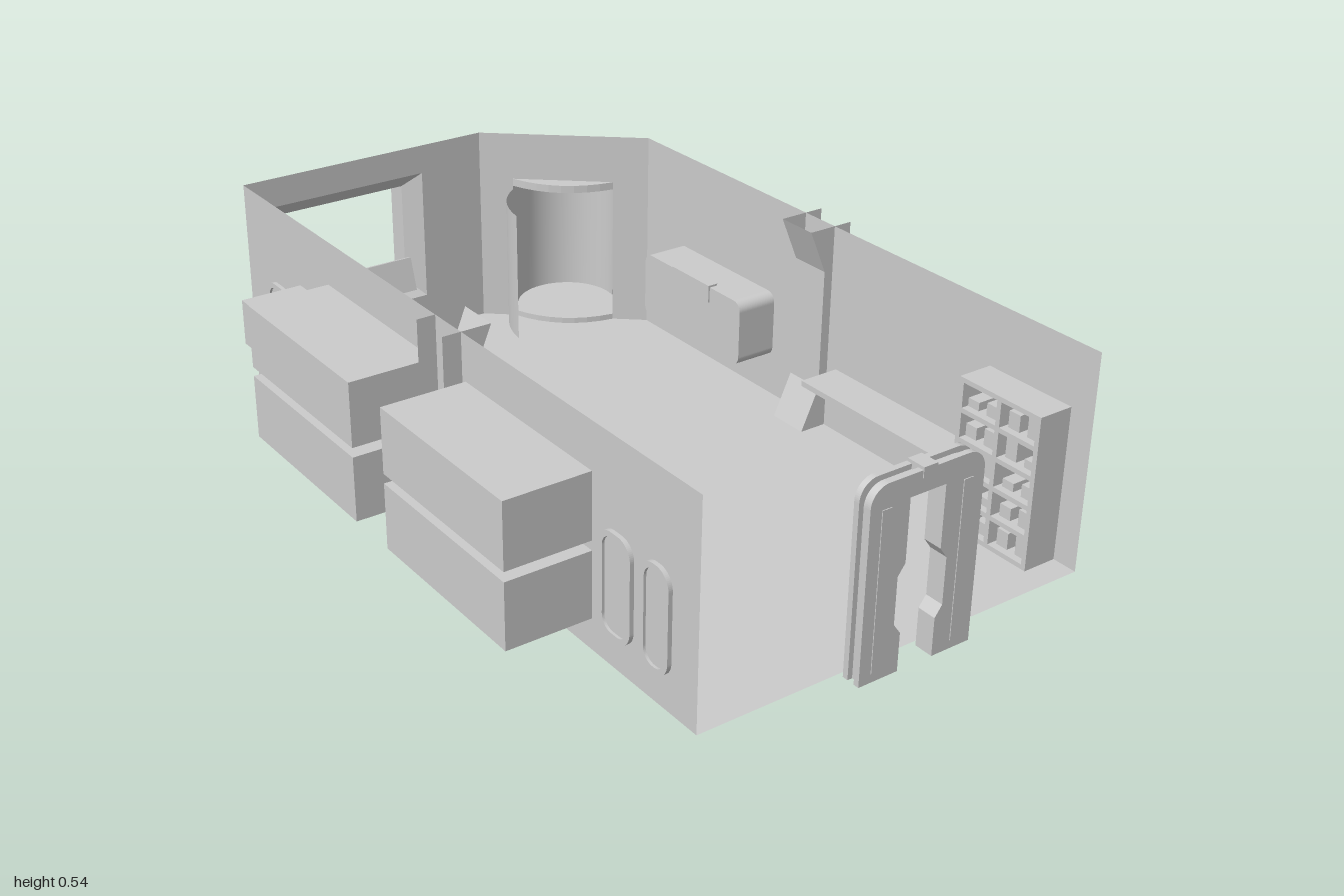
import * as THREE from 'three';

const smooth = new THREE.MeshStandardMaterial({ color: 0xcccccc, side: THREE.DoubleSide });
const flat = new THREE.MeshStandardMaterial({ color: 0xcccccc, side: THREE.DoubleSide, flatShading: true });

const FLOOR = 0.015, TOP = 0.535;
const LEFT = -0.43, RIGHT = 0.585, BACK = -0.903, FRONT = 0.945;

function add(parent, name, geo, mat = flat) {
  const m = new THREE.Mesh(geo, mat);
  m.name = name;
  parent.add(m);
  return m;
}

// Box given by its limits on each axis
function box(parent, name, [x0, x1], [y0, y1], [z0, z1]) {
  const m = add(parent, name, new THREE.BoxGeometry(x1 - x0, y1 - y0, z1 - z0));
  m.position.set((x0 + x1) / 2, (y0 + y1) / 2, (z0 + z1) / 2);
  return m;
}

// Surface through rings of equal point count
function loft(rings, closed, faceted) {
  const n = rings[0].length, idx = [];
  for (let r = 0; r < rings.length - 1; r++)
    for (let i = 0; i < (closed ? n : n - 1); i++) {
      const a = r * n + i, b = r * n + (i + 1) % n;
      idx.push(a, b, b + n, a, b + n, a + n);
    }
  let g = new THREE.BufferGeometry();
  g.setAttribute('position', new THREE.Float32BufferAttribute(rings.flat(2), 3));
  g.setIndex(idx);
  if (faceted) g = g.toNonIndexed();
  g.computeVertexNormals();
  return g;
}

// Upright sheet following a floor path of [x, z] points
const sheet = (path, y0, y1) => loft([y0, y1].map(y => path.map(([x, z]) => [x, y, z])), false, false);

const polygon = pts => new THREE.Shape(pts.map(p => new THREE.Vector2(...p)));
const rect = (u0, u1, v0, v1) => [[u0, v0], [u1, v0], [u1, v1], [u0, v1]];

// Thin wall from a to b on the floor, with holes given in (distance, height)
function wall(parent, name, [ax, az], [bx, bz], holes = []) {
  const len = Math.hypot(bx - ax, bz - az);
  const s = polygon(rect(0, len, FLOOR, TOP));
  s.holes = holes.map(polygon);
  const m = add(parent, name, new THREE.ShapeGeometry(s));
  m.position.set(ax, 0, az);
  m.rotation.y = -Math.atan2(bz - az, bx - ax);
}

function roundRect(w, h, r) {
  const s = new THREE.Shape(), x = w / 2, y = h / 2;
  s.moveTo(-x + r, -y).lineTo(x - r, -y).absarc(x - r, -y + r, r, -Math.PI / 2, 0);
  s.absarc(x - r, y - r, r, 0, Math.PI / 2).absarc(-x + r, y - r, r, Math.PI / 2, Math.PI);
  s.absarc(-x + r, -y + r, r, Math.PI, Math.PI * 1.5);
  return s;
}
const extrude = (s, depth) => new THREE.ExtrudeGeometry(s, { depth, bevelEnabled: false, curveSegments: 8 });

// Sleeping berths: two stacks of boxes open to the cabin
const berthZ = [[-0.475, 0], [0.135, 0.6]], berthY = [[0.09, 0.247], [0.27, 0.425]];
function berths(parent) {
  for (const [z0, z1] of berthZ) for (const [y0, y1] of berthY) {
    const m = box(parent, 'berth', [-0.634, LEFT], [y0, y1], [z0, z1]);
    m.geometry.setIndex(Array.from(m.geometry.index.array).slice(6));
  }
  box(parent, 'berthLocker', [-0.61, -0.46], [0.29, 0.4], [-0.56, -0.475]);
}

// Rounded locker doors set through the left wall
function lockers(parent) {
  for (const [z, w] of [[-0.735, 0.11], [-0.58, 0.11], [0.688, 0.105], [0.818, 0.09]]) {
    const g = new THREE.Group();
    g.name = 'lockerDoor';
    const ring = roundRect(w, 0.24, 0.04);
    ring.holes.push(roundRect(w - 0.024, 0.216, 0.03));
    add(g, 'lockerFrame', extrude(ring, 0.025));
    add(g, 'lockerPanel', extrude(roundRect(w - 0.024, 0.216, 0.03), 0.012)).position.z = 0.006;
    box(g, 'lockerHandle', [-0.008, 0.008], [-0.01, 0.03], [0.018, 0.028]);
    g.position.set(-0.44, 0.21, z);
    g.rotation.y = Math.PI / 2;
    parent.add(g);
  }
}

function ladder(parent, z) {
  const g = new THREE.Group();
  g.name = 'ladder';
  for (const s of [-1, 1]) box(g, 'ladderRail', [-0.005, 0.005], [0, 0.3], [s * 0.031 - 0.004, s * 0.031 + 0.004]);
  for (let i = 1; i <= 6; i++) box(g, 'ladderRung', [-0.006, 0.006], [i * 0.044 - 0.004, i * 0.044 + 0.004], [-0.03, 0.03]);
  g.position.set(-0.397, 0, z);
  g.rotation.z = 0.1;
  parent.add(g);
}

// Wall rib: two side plates joined by a splayed inner face
function rib(parent, side) {
  const cx = 0.079, z0 = 0.018, z1 = 0.122;
  const edge = [[0.435, FLOOR], [0.482, 0.12], [0.482, 0.425], [0.435, TOP]].map(([x, y]) => [cx + side * x, y]);
  const out = cx + side * 0.554;
  const g = new THREE.Group();
  g.name = side > 0 ? 'leftRib' : 'rightRib';
  for (const z of [z0, z1])
    add(g, 'ribPlate', new THREE.ShapeGeometry(polygon([...edge, [out, TOP], [out, FLOOR]]))).position.z = z;
  add(g, 'ribFace', loft([z0, z1].map(z => edge.map(([x, y]) => [x, y, z])), false, true));
  parent.add(g);
}

// Entry arch: three layers, the middle one set in
function archShape(inset) {
  const w = 0.147 - inset, h = 0.455 - inset, r = 0.045;
  const inner = [[0.046, 0.01], [0.046, 0.1], [0.064, 0.125], [0.064, 0.235], [0.046, 0.26], [0.046, 0.405]];
  const s = new THREE.Shape();
  s.moveTo(w, 0.01).lineTo(w, h - r).absarc(w - r, h - r, r, 0, Math.PI / 2);
  s.absarc(-w + r, h - r, r, Math.PI / 2, Math.PI).lineTo(-w, 0.01);
  inner.forEach(([x, y]) => s.lineTo(-x, y));
  inner.reverse().forEach(([x, y]) => s.lineTo(x, y));
  return s;
}
function arch(parent) {
  const g = new THREE.Group();
  g.name = 'entryArch';
  for (const [z, d, inset] of [[0.952, 0.014, 0], [0.966, 0.018, 0.012], [0.984, 0.014, 0]])
    add(g, 'archLayer', extrude(archShape(inset), d)).position.z = z;
  box(g, 'archLatch', [-0.018, 0.018], [0.438, 0.462], [0.954, 1]);
  for (const s of [-1, 1]) box(g, 'archPanel', [s * 0.105 - 0.012, s * 0.105 + 0.012], [0.03, 0.4], [0.99, 1]);
  g.position.x = 0.073;
  parent.add(g);
}

// Round-ended pod on the angled wall
function pod(parent) {
  const r = 0.133, t = 0.067, y0 = 0.03, y1 = 0.39;
  const g = new THREE.Group();
  g.name = 'pod';
  const path = [[-r, 0]];
  for (let i = 0; i <= 24; i++) {
    const a = Math.PI * (1 - i / 24);
    path.push([r * Math.cos(a), -t - r * Math.sin(a)]);
  }
  path.push([r, 0]);
  add(g, 'podShell', sheet(path, y0, y1), smooth);
  for (const y of [y0, y1]) {
    const cap = add(g, 'podCap', new THREE.ShapeGeometry(polygon(path)));
    cap.rotation.x = Math.PI / 2;
    cap.position.y = y;
  }
  // Bowed sills above and below the opening
  const sill = new THREE.Shape();
  sill.moveTo(-r, 0).quadraticCurveTo(0, 0.08, r, 0).lineTo(-r, 0);
  for (const y of [y0, y1 + 0.02]) {
    const m = add(g, 'podSill', extrude(sill, 0.02));
    m.rotation.x = Math.PI / 2;
    m.position.y = y;
  }
  g.position.set(0.413, 0, -0.76);
  g.rotation.y = -Math.atan2(0.288, 0.34);
  parent.add(g);
  // Open curved door inside the cabin
  const door = new THREE.QuadraticBezierCurve(new THREE.Vector2(0.312, -0.84), new THREE.Vector2(0.225, -0.785), new THREE.Vector2(0.21, -0.67));
  add(parent, 'podDoor', sheet(door.getPoints(12).map(p => [p.x, p.y]), 0.04, 0.385), smooth);
}

// Display on a post, standing by the window
function terminal(parent) {
  const g = new THREE.Group();
  g.name = 'terminal';
  box(g, 'terminalBase', [-0.048, 0.048], [0.008, 0.03], [-0.045, 0.045]);
  box(g, 'terminalPost', [-0.032, 0.032], [0.03, 0.145], [-0.022, 0.022]);
  box(g, 'terminalNeck', [-0.01, 0.01], [0.145, 0.2], [-0.01, 0.01]);
  box(g, 'terminalKeys', [-0.022, 0.022], [0.07, 0.125], [0.02, 0.03]);
  box(g, 'terminalScreen', [-0.062, 0.062], [-0.043, 0.043], [-0.007, 0.007]).position.set(0, 0.232, 0.008);
  g.children.at(-1).rotation.x = -0.3;
  g.position.set(-0.083, 0, -0.82);
  parent.add(g);
}

// Open shelving with small stored items
function shelving(parent) {
  const x = [0.497, 0.588], y = [FLOOR, 0.385], z = [0.646, 0.883], g = new THREE.Group();
  g.name = 'shelving';
  box(g, 'shelvingBack', [0.57, x[1]], y, z);
  for (const e of [z[0], z[1] - 0.012]) box(g, 'shelvingSide', x, y, [e, e + 0.012]);
  box(g, 'shelvingDivider', x, y, [0.758, 0.77]);
  for (let i = 0; i < 6; i++) {
    const h = FLOOR + i * 0.0717;
    box(g, 'shelf', x, [h, h + 0.0115], z);
    if (i < 5) for (let k = 0; k < 4; k++) {
      const c = 0.675 + k * 0.055 + (k > 1 ? 0.01 : 0), tall = 0.02 + ((i * 3 + k * 5) % 4) * 0.01;
      box(g, 'storedItem', [0.515, 0.57], [h + 0.0115, h + 0.0115 + tall], [c - 0.016, c + 0.016]);
    }
  }
  parent.add(g);
}

export function createModel() {
  const room = new THREE.Group();
  room.name = 'cabin';

  const floor = add(room, 'floor', new THREE.ShapeGeometry(polygon(
    [[LEFT, FRONT], [RIGHT, FRONT], [RIGHT, -0.615], [0.245, BACK], [LEFT, BACK]])));
  floor.rotation.x = Math.PI / 2;
  floor.position.y = FLOOR;

  // Walls
  const berthHoles = berthZ.flatMap(([a, b]) => berthY.map(([c, d]) => rect(FRONT - b, FRONT - a, c, d)));
  wall(room, 'berthWall', [LEFT, FRONT], [LEFT, BACK], berthHoles);
  wall(room, 'sideWall', [RIGHT, FRONT], [RIGHT, -0.615]);
  wall(room, 'podWall', [0.245, BACK], [RIGHT, -0.615], [rect(0.087, 0.353, 0.03, 0.39)]);
  const outer = [[-0.355, 0.46], [-0.355, 0.215], [-0.25, 0.115], [0.07, 0.115], [0.07, 0.46]];
  const inner = [[-0.32, 0.42], [-0.32, 0.232], [-0.23, 0.155], [0.03, 0.155], [0.03, 0.42]];
  wall(room, 'windowWall', [LEFT, BACK], [0.245, BACK], [outer.map(([x, y]) => [x - LEFT, y])]);

  // Window bay with a pot on its sill
  const rings = [[outer, BACK], [inner, -0.943], [inner, -1]];
  add(room, 'windowBay', loft(rings.map(([p, z]) => p.map(([x, y]) => [x, y, z])), true, true));
  add(room, 'pot', new THREE.CylinderGeometry(0.028, 0.017, 0.048, 16), smooth).position.set(-0.193, 0.179, -0.965);

  berths(room);
  lockers(room);
  for (const z of [-0.44, 0.565]) ladder(room, z);
  for (const s of [-1, 1]) rib(room, s);
  arch(room);
  pod(room);
  terminal(room);
  shelving(room);

  // Bench unit and fold-out table on the side wall
  const bench = add(room, 'wallUnit', extrude(roundRect(0.39, 0.17, 0.025), 0.108));
  bench.rotation.y = Math.PI / 2;
  bench.position.set(0.474, 0.205, -0.275);
  box(room, 'wallUnitPanel', [0.47, 0.497], [0.25, 0.295], [-0.35, -0.2]);
  box(room, 'foldingTable', [0.472, 0.578], [0.168, 0.182], [0.162, 0.602]);
  return room;
}
